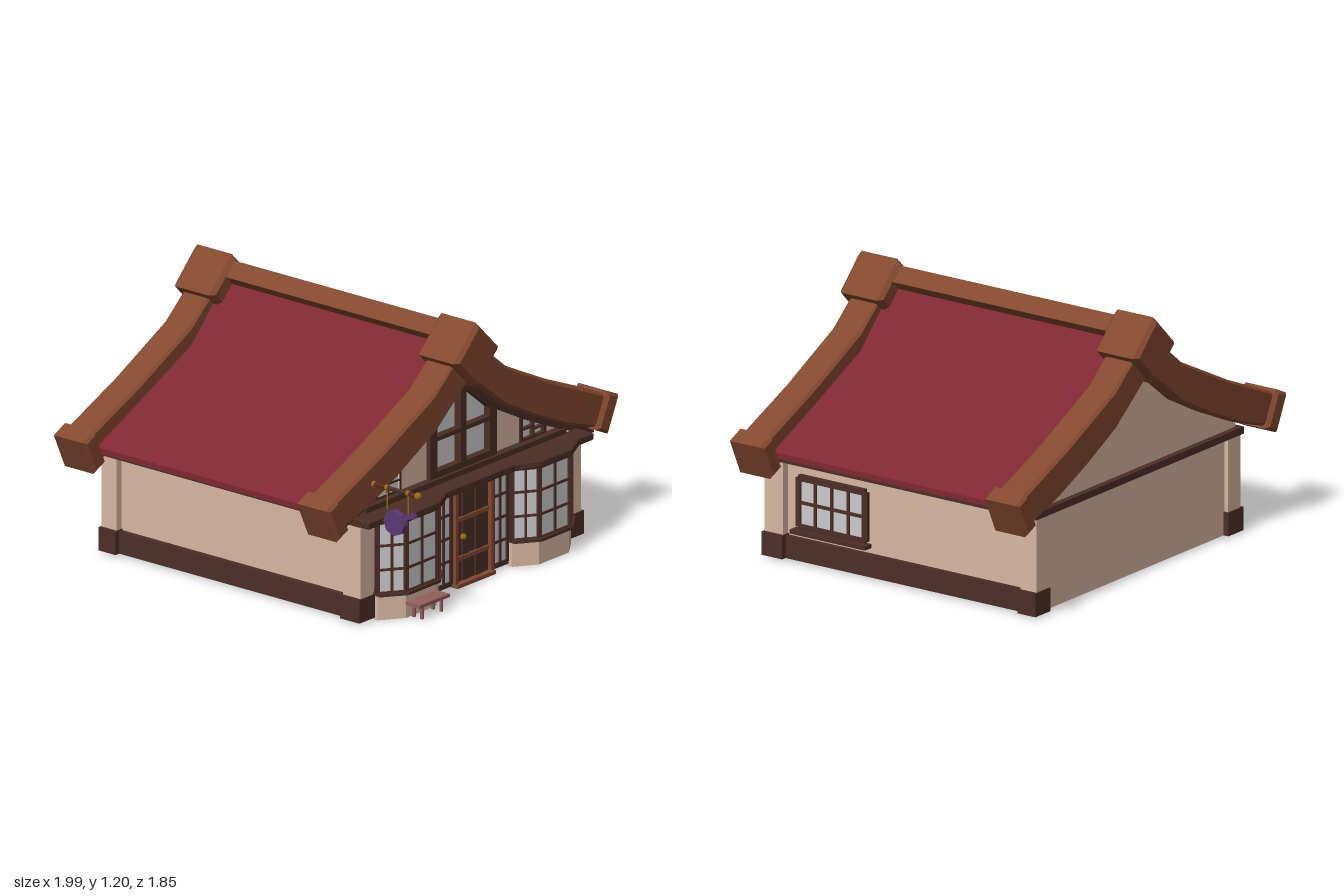
import * as THREE from 'three';

const paint = (color) => new THREE.MeshStandardMaterial({ color, flatShading: true });
const timber = paint(0x84492f), dark = paint(0x4c2f25), plaster = paint(0xd9b8a2), red = paint(0x7f2832);
const glass = paint(0xcccccc), gold = paint(0x9a6a10), purple = paint(0x5c3a75), benchWood = paint(0x95605a);

function add(parent, name, geo, mat, x = 0, y = 0, z = 0) {
  const mesh = new THREE.Mesh(geo, mat);
  mesh.name = name;
  mesh.position.set(x, y, z);
  parent.add(mesh);
  return mesh;
}

// Box given by its limits on each axis
function block(parent, name, mat, [x0, x1], [y0, y1], [z0, z1]) {
  const geo = new THREE.BoxGeometry(Math.abs(x1 - x0), y1 - y0, z1 - z0);
  return add(parent, name, geo, mat, (x0 + x1) / 2, (y0 + y1) / 2, (z0 + z1) / 2);
}

const outline = (pts) => pts.map(([x, y]) => new THREE.Vector2(x, y));
const mirror = (pts, s) => pts.map(([x, y]) => [s * x, y]);

// Flat shape with optional holes and chamfered edges; depth 0 to d on z
function slab(pts, d, holes = [], bevel = 0) {
  const shape = new THREE.Shape(outline(pts));
  shape.holes = holes.map((h) => new THREE.Path(outline(h)));
  const geo = new THREE.ExtrudeGeometry(shape, {
    depth: d - 2 * bevel, bevelEnabled: bevel > 0, bevelSize: bevel,
    bevelThickness: bevel, bevelOffset: -bevel, bevelSegments: 1,
  });
  return geo.translate(0, 0, bevel);
}

// Plan shape (x, z) extruded downwards from y = 0
const planSlab = (pts, d, bevel = 0) => slab(pts, d, [], bevel).rotateX(Math.PI / 2);

const rect = (x0, x1, y0, y1) => [[x0, y0], [x1, y0], [x1, y1], [x0, y1]];

function chamferBox(w, h, d, bevel) {
  return slab(rect(-w / 2, w / 2, -h / 2, h / 2), d, [], bevel).translate(0, 0, -d / 2);
}

// Paned window standing on its local origin, facing +z
function panedWindow(parent, name, w, h, cols, rows, bar) {
  const g = new THREE.Group();
  g.name = name;
  block(g, 'glass', glass, [-w / 2, w / 2], [0, h], [-0.008, 0.002]);
  for (let i = 0; i <= cols; i++) {
    const t = i % cols ? bar / 2 : bar, x = -w / 2 + (w * i) / cols;
    block(g, 'mullion', dark, [x - t, x + t], [0, h], [-0.012, 0.01]);
  }
  for (let j = 0; j <= rows; j++) {
    const t = j % rows ? bar / 2 : bar, y = (h * j) / rows;
    block(g, 'crossbar', dark, [-w / 2, w / 2], [y - t, y + t], [-0.012, 0.01]);
  }
  parent.add(g);
  return g;
}

function buildRoof(house) {
  const top = [[0, 1.09], [0.25, 0.84], [0.57, 0.69], [0.89, 0.545]];
  const under = top.map(([x, y]) => [x, y - 0.025]).reverse();
  const upper = [[0, 1.13], [0.25, 0.925], [0.59, 0.755], [0.94, 0.605]];
  const lower = [[0.88, 0.465], [0.67, 0.535], [0.45, 0.635], [0.24, 0.745], [0, 0.935]];
  const trim = [...lower, ...lower.map(([x, y]) => [x, y - 0.028]).reverse()];
  for (const s of [-1, 1]) {
    add(house, 'roofSlope', slab(mirror([...top, ...under], s), 1.34), red, 0, 0, -0.8);
    add(house, 'gableTrim', slab(mirror(trim, s), 0.08), dark, 0, 0, 0.53);
    for (const z of [0.57, -0.815]) {
      const board = slab(mirror([...upper, ...lower], s), 0.15, [], 0.012);
      add(house, 'bargeBoard', board, timber, 0, 0, z - 0.075);
      const cap = add(house, 'eaveCap', chamferBox(0.086, 0.18, 0.19, 0.014), timber, s * 0.92, 0.53, z);
      cap.rotation.z = -s * 0.435;
    }
  }
  for (const z of [0.575, -0.815]) {
    add(house, 'ridgeCap', chamferBox(0.216, 0.216, 0.23, 0.018), timber, 0, 1.05, z).rotation.z = Math.PI / 4;
  }
  add(house, 'ridgeBeam', chamferBox(0.085, 0.085, 1.4, 0.004), timber, 0, 1.115, -0.12).rotation.z = Math.PI / 4;
}

function buildGables(house) {
  const half = [[0.74, 0.48], [0.74, 0.575], [0.57, 0.66], [0.25, 0.81], [0, 1.05]];
  const gable = [...half, ...mirror(half.slice(0, 4), -1).reverse()];
  const main = [[-0.225, 0.51], [0.225, 0.51], [0.225, 0.8], [0, 0.99], [-0.225, 0.8]];
  const side = [[0.405, 0.51], [0.58, 0.51], [0.58, 0.6], [0.405, 0.68]];
  const sides = [side, mirror(side, -1)];
  add(house, 'backGable', slab(gable, 0.03), plaster, 0, 0, -0.81);
  add(house, 'frontGable', slab(gable, 0.03, [main, ...sides]), plaster, 0, 0, 0.55);

  // Framed gable windows
  const mainPanes = [], sidePanes = [
    rect(0.42, 0.488, 0.525, 0.565), [[0.42, 0.575], [0.488, 0.575], [0.488, 0.59], [0.42, 0.622]],
    rect(0.5, 0.565, 0.525, 0.55), [[0.5, 0.558], [0.565, 0.558], [0.5, 0.587]],
  ];
  for (const s of [-1, 1]) {
    mainPanes.push(mirror(rect(0.02, 0.18, 0.545, 0.685), s));
    mainPanes.push(mirror([[0.02, 0.705], [0.18, 0.705], [0.18, 0.745], [0.02, 0.875]], s));
    add(house, 'sideGableFrame', slab(mirror(side, s), 0.045, sidePanes.map((p) => mirror(p, s))), dark, 0, 0, 0.545);
    add(house, 'sideGableGlass', slab(mirror(side, s), 0.01), glass, 0, 0, 0.56);
  }
  add(house, 'mainGableFrame', slab(main, 0.06, mainPanes), dark, 0, 0, 0.545);
  add(house, 'mainGableGlass', slab(main, 0.01), glass, 0, 0, 0.56);
  block(house, 'gableSill', dark, [-0.68, 0.68], [0.485, 0.515], [0.54, 0.62]);
}

function buildWalls(house) {
  block(house, 'frontWall', plaster, [-0.715, 0.715], [0.01, 0.49], [0.58, 0.61]);
  block(house, 'backWall', plaster, [-0.715, 0.715], [0.01, 0.49], [-0.81, -0.78]);
  block(house, 'backBeam', dark, [-0.765, 0.765], [0.455, 0.487], [-0.84, -0.77]);
  for (const s of [-1, 1]) {
    block(house, 'sideWall', plaster, [s * 0.685, s * 0.715], [0.01, 0.49], [-0.8, 0.6]);
    block(house, 'baseBoard', dark, [s * 0.685, s * 0.74], [0.01, 0.112], [-0.78, 0.6]);
    block(house, 'sideBeam', dark, [s * 0.675, s * 0.765], [0.455, 0.487], [-0.84, 0.65]);
    block(house, 'wallPlate', dark, [s * 0.685, s * 0.745], [0.487, 0.585], [-0.8, 0.56]);
    for (const [z0, z1] of [[0.545, 0.645], [-0.83, -0.745]]) {
      block(house, 'cornerPost', plaster, [s * 0.66, s * 0.75], [0.11, 0.46], [z0, z1]);
      block(house, 'postFoot', dark, [s * 0.655, s * 0.765], [0.01, 0.118], [z0 - 0.006, z1 + 0.006]);
    }
  }
  // Window in the left wall
  const win = panedWindow(house, 'sideWindow', 0.36, 0.225, 4, 2, 0.014);
  win.position.set(0.725, 0.165, 0.295);
  win.rotation.y = Math.PI / 2;
  block(house, 'sideWindowSill', dark, [0.71, 0.765], [0.137, 0.155], [0.09, 0.5]);
}

function buildFront(house) {
  // Lintel that follows both bays
  const edge = [[0.765, 0.56], [0.765, 0.705], [0.67, 0.705], [0.55, 0.765], [0.35, 0.765], [0.23, 0.705]];
  add(house, 'frontLintel', planSlab([...edge, ...mirror(edge, -1).reverse()], 0.035, 0.006), dark, 0, 0.49, 0);

  const bay = [[0.66, 0.6], [0.66, 0.665], [0.555, 0.74], [0.35, 0.74], [0.25, 0.67], [0.25, 0.6]];
  const sill = [[0.665, 0.6], [0.665, 0.685], [0.56, 0.762], [0.345, 0.762], [0.245, 0.69], [0.245, 0.6]];
  for (const s of [-1, 1]) {
    const pts = mirror(bay, s);
    add(house, 'bayBase', planSlab(pts, 0.115), plaster, 0, 0.115, 0);
    add(house, 'baySill', planSlab(mirror(sill, s), 0.014), dark, 0, 0.126, 0);
    for (let i = 1; i < 4; i++) {
      const [[ax, az], [bx, bz]] = s > 0 ? [pts[i + 1], pts[i]] : [pts[i], pts[i + 1]];
      const w = Math.hypot(bx - ax, bz - az);
      const pane = panedWindow(house, 'bayWindow', w, 0.335, 2, 3, 0.01);
      pane.position.set((ax + bx) / 2, 0.122, (az + bz) / 2);
      pane.rotation.y = -Math.atan2(bz - az, bx - ax);
    }
    const light = panedWindow(house, 'sideLight', 0.105, 0.43, 2, 4, 0.011);
    light.position.set(s * 0.193, 0.025, 0.645);
    block(house, 'doorJamb', timber, [s * 0.112, s * 0.132], [0.01, 0.455], [0.57, 0.67]);
  }

  // Planked door
  block(house, 'doorHead', timber, [-0.13, 0.13], [0.437, 0.457], [0.57, 0.67]);
  block(house, 'doorStep', timber, [-0.13, 0.13], [0.003, 0.02], [0.57, 0.68]);
  for (let i = 0; i < 5; i++) {
    const x = -0.112 + i * 0.0448;
    block(house, 'doorPlank', dark, [x + 0.002, x + 0.043], [0.02, 0.44], [0.6, 0.65 + (i % 2) * 0.004]);
  }
  for (const y of [0.13, 0.31]) block(house, 'doorBand', timber, [-0.105, 0.105], [y - 0.009, y + 0.009], [0.65, 0.662]);
  add(house, 'doorKnob', new THREE.SphereGeometry(0.015, 10, 8), gold, -0.08, 0.23, 0.67);
}

function buildBench(house) {
  block(house, 'benchSeat', benchWood, [-0.557, -0.352], [0.06, 0.075], [0.74, 0.82]);
  for (const x of [-0.52, -0.39]) {
    for (const z of [0.757, 0.803]) block(house, 'benchLeg', benchWood, [x - 0.006, x + 0.006], [0, 0.06], [z - 0.006, z + 0.006]);
  }
}

function buildHangingSign(house) {
  const x = -0.67;
  const rod = (name, r, len, mat, y, z) => add(house, name, new THREE.CylinderGeometry(r, r, len, 8), mat, x, y, z);
  rod('signPole', 0.01, 0.35, dark, 0.633, 0.735).rotation.x = Math.PI / 2;
  add(house, 'poleTip', new THREE.SphereGeometry(0.018, 10, 8), gold, x, 0.633, 0.905);
  for (const z of [0.85, 0.73, 0.655]) rod('poleRing', 0.014, 0.014, gold, 0.633, z).rotation.x = Math.PI / 2;
  rod('hangerCord', 0.003, 0.105, gold, 0.58, 0.85);
  rod('hangerCord', 0.003, 0.1, gold, 0.583, 0.73);
  // Round-bodied sign with a slanting neck
  rod('signBody', 0.06, 0.022, purple, 0.482, 0.776).rotation.z = Math.PI / 2;
  add(house, 'signNeck', new THREE.BoxGeometry(0.014, 0.022, 0.1), purple, x, 0.519, 0.842).rotation.x = -0.48;
  add(house, 'signHead', new THREE.BoxGeometry(0.018, 0.03, 0.02), purple, x, 0.538, 0.88).rotation.x = -0.48;
}

export function createModel() {
  const house = new THREE.Group();
  house.name = 'house';
  buildRoof(house);
  buildGables(house);
  buildWalls(house);
  buildFront(house);
  buildBench(house);
  buildHangingSign(house);
  return house;
}
